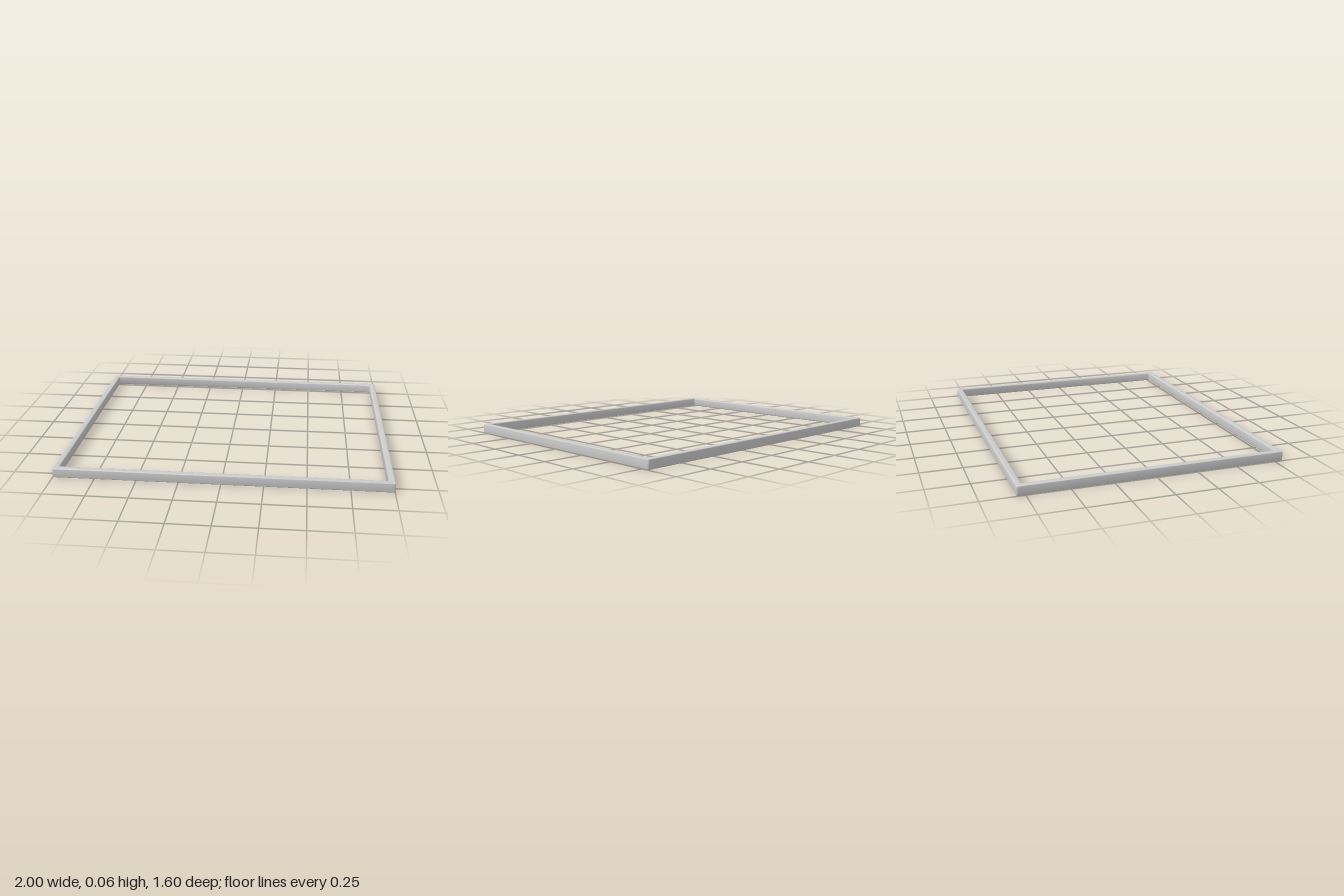
import * as THREE from 'three';
import { toCreasedNormals } from 'three/addons/utils/BufferGeometryUtils.js';

// Rectangle outline with rounded corners, centred on the origin
function roundedRect(path, w, h, r) {
  const x = w / 2, y = h / 2;
  path.moveTo(-x + r, -y);
  path.lineTo(x - r, -y);
  path.absarc(x - r, -y + r, r, -Math.PI / 2, 0);
  path.lineTo(x, y - r);
  path.absarc(x - r, y - r, r, 0, Math.PI / 2);
  path.lineTo(-x + r, y);
  path.absarc(-x + r, y - r, r, Math.PI / 2, Math.PI);
  path.lineTo(-x, -y + r);
  path.absarc(-x + r, -y + r, r, Math.PI, Math.PI * 1.5);
  path.closePath();
  return path;
}

export function createModel() {
  const width = 2, depth = 1.6, height = 0.058, rail = 0.037, bevel = 0.005;

  // Rectangular frame with softened edges; the bevel grows back to full size
  const shape = roundedRect(new THREE.Shape(), width - 2 * bevel, depth - 2 * bevel, 0.002);
  shape.holes.push(roundedRect(new THREE.Path(),
    width - 2 * rail + 2 * bevel, depth - 2 * rail + 2 * bevel, 0.012));

  const geometry = new THREE.ExtrudeGeometry(shape, {
    depth: height - 2 * bevel,
    bevelSize: bevel,
    bevelThickness: bevel,
    bevelSegments: 3,
    curveSegments: 4,
  });
  geometry.rotateX(-Math.PI / 2);
  geometry.translate(0, bevel, 0);

  const frame = new THREE.Mesh(
    toCreasedNormals(geometry, 0.7),
    new THREE.MeshStandardMaterial({ color: 0xcccccc }),
  );
  frame.name = 'rectangularFrame';

  const group = new THREE.Group();
  group.name = 'frame';
  group.add(frame);
  return group;
}
